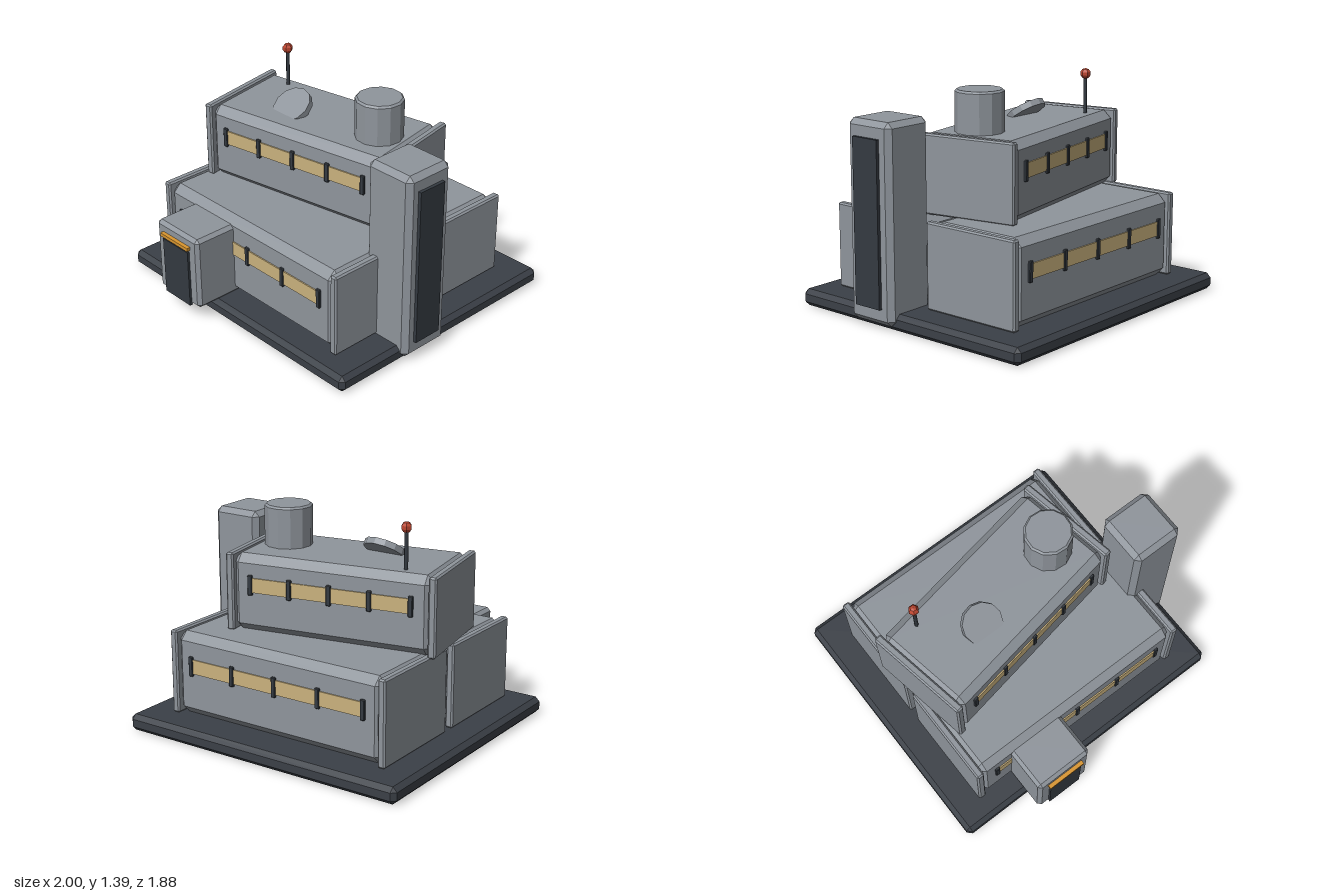
import * as THREE from 'three';
import { ConvexGeometry } from 'three/addons/geometries/ConvexGeometry.js';

const mat = (name, color) => Object.assign(new THREE.MeshStandardMaterial({ color }), { name });

export function createModel() {
  const wall = mat('wall grey', 0x8f959c);
  const slab = mat('dark slab', 0x3b4047);
  const trim = mat('dark trim', 0x343a41);
  const glow = mat('window tan', 0xcab27e);
  const orange = mat('lamp orange', 0xd9962f);
  const red = mat('beacon red', 0xbd4630);

  const add = (parent, name, geometry, material, x = 0, y = 0, z = 0) => {
    const mesh = new THREE.Mesh(geometry, material);
    mesh.name = name;
    mesh.position.set(x, y, z);
    parent.add(mesh);
    return mesh;
  };

  // Box with every edge cut by a flat chamfer b
  const chamferBox = (w, h, d, b) => {
    const half = [w / 2, h / 2, d / 2];
    const points = [];
    for (let axis = 0; axis < 3; axis++)
      for (let corner = 0; corner < 8; corner++) {
        const p = half.map((s, i) => (corner >> i & 1 ? 1 : -1) * (i === axis ? s : s - b));
        points.push(new THREE.Vector3(...p));
      }
    return new ConvexGeometry(points);
  };

  // Cylinder with a chamfered top rim and flat facets
  const facetDrum = (r, h, b, sides) => {
    const profile = [[0, 0], [r, 0], [r, h - b], [r - b, h], [0, h]].map(p => new THREE.Vector2(...p));
    const geometry = new THREE.LatheGeometry(profile, sides).toNonIndexed();
    geometry.computeVertexNormals();
    return geometry;
  };

  const model = new THREE.Group();
  model.name = 'outpost';

  // Ground slab
  add(model, 'baseSlab', chamferBox(1.935, 0.105, 1.72, 0.028), slab, -0.0325, 0.0525, -0.08);

  // Long block with end plates and a window band on both long sides
  const block = (name, halfLength, height, halfWindow, windowY) => {
    const group = new THREE.Group();
    group.name = name;
    const halfDepth = 0.318;
    add(group, 'blockBody', chamferBox(halfLength * 2, height - 0.005, halfDepth * 2, 0.05),
      wall, 0, height / 2 - 0.0025, 0);
    for (const side of [-1, 1]) {
      add(group, 'endPlate', chamferBox(0.05, height, 0.665, 0.01), wall,
        side * (halfLength + 0.003), height / 2, 0);
      add(group, 'windowBand', new THREE.BoxGeometry(halfWindow * 2, 0.09, 0.009), glow,
        0, windowY, side * (halfDepth + 0.0035));
      for (let i = -2; i <= 2; i++)
        add(group, 'mullion', chamferBox(0.03, 0.125, 0.022, 0.004), trim,
          i * halfWindow / 2, windowY, side * (halfDepth + 0.004));
    }
    model.add(group);
    return group;
  };

  block('frontBlock', 0.75, 0.53, 0.625, 0.322).position.set(-0.034, 0.105, 0.315);
  block('backBlock', 0.75, 0.53, 0.625, 0.322).position.set(-0.034, 0.105, -0.42);
  const upper = block('upperBlock', 0.647, 0.485, 0.516, 0.297);
  upper.position.set(-0.123, 0.625, -0.08);
  upper.rotation.y = 0.18;

  // Entrance
  add(model, 'porch', chamferBox(0.385, 0.478, 0.36, 0.022), wall, -0.357, 0.344, 0.735);
  add(model, 'door', new THREE.BoxGeometry(0.235, 0.375, 0.02), trim, -0.357, 0.295, 0.92);
  add(model, 'doorLamp', new THREE.BoxGeometry(0.257, 0.022, 0.03), orange, -0.357, 0.51, 0.925);

  // Side tower
  add(model, 'tower', chamferBox(0.337, 1.2, 0.34, 0.033), wall, 0.808, 0.63, 0.143);
  add(model, 'towerPanel', new THREE.BoxGeometry(0.03, 1.0, 0.193), trim, 0.982, 0.632, 0.146);

  // Roof equipment
  add(model, 'tank', facetDrum(0.148, 0.27, 0.012, 12), wall, 0.31, 1.09, -0.121).rotation.y = 0.18;
  const dish = new THREE.CylinderGeometry(0.127, 0.127, 0.04, 12).toNonIndexed();
  dish.computeVertexNormals();
  add(model, 'dish', dish, wall, -0.293, 1.133, 0.024).rotation.x = 0.6;
  add(model, 'mast', new THREE.CylinderGeometry(0.012, 0.012, 0.25, 6), trim, -0.595, 1.215, -0.21);
  const ball = new THREE.SphereGeometry(0.034, 6, 5).toNonIndexed();
  ball.computeVertexNormals();
  add(model, 'beacon', ball, red, -0.595, 1.355, -0.21);

  return model;
}
